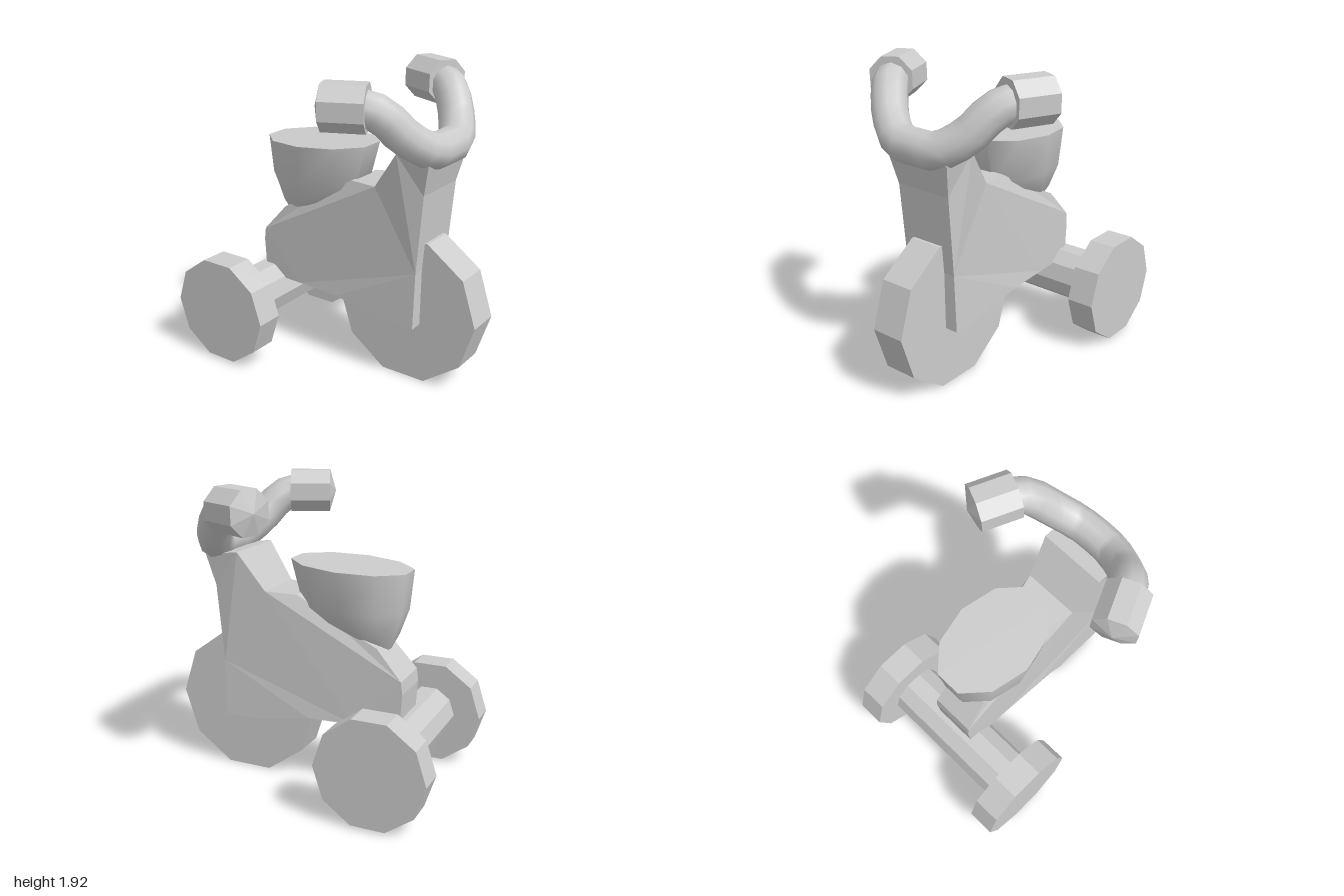
import * as THREE from 'three';
import { toCreasedNormals } from 'three/addons/utils/BufferGeometryUtils.js';

const smooth = new THREE.MeshStandardMaterial({ color: 0xcccccc });
const faceted = new THREE.MeshStandardMaterial({ color: 0xcccccc, flatShading: true });

function part(name, geometry, material = faceted) {
  const mesh = new THREE.Mesh(geometry, material);
  mesh.name = name;
  return mesh;
}

// Ten-sided drum lying along x
function drum(name, radius, width, x, y, z) {
  const mesh = part(name, new THREE.CylinderGeometry(radius, radius, width, 10).rotateZ(Math.PI / 2));
  mesh.position.set(x, y, z);
  return mesh;
}

// Frame: side outline as [z, y, half width], wider at the steering head
function frameGeometry() {
  const outline = [
    [0.627, 0.385, 0.195], [0.632, 0.75, 0.185], [0.674, 1.25, 0.19], [0.72, 1.45, 0.225],
    [0.5, 1.48, 0.22], [0.33, 1.24, 0.18], [0.13, 1.23, 0.135], [-0.1, 1.1, 0.13],
    [-0.4, 0.95, 0.13], [-0.565, 0.765, 0.145], [-0.575, 0.685, 0.145], [-0.56, 0.445, 0.145],
    [-0.27, 0.445, 0.16], [0.04, 0.445, 0.18], [0.4, 0.385, 0.19],
  ];
  const shape = new THREE.Shape(outline.map(([z, y]) => new THREE.Vector2(z, y)));
  const geo = new THREE.ExtrudeGeometry(shape, { depth: 1, bevelEnabled: false });
  geo.rotateY(-Math.PI / 2).translate(0.5, 0, 0);
  const pos = geo.attributes.position;
  for (let i = 0; i < pos.count; i++) {
    const near = outline.find(([z, y]) => Math.hypot(z - pos.getZ(i), y - pos.getY(i)) < 0.001);
    pos.setX(i, Math.sign(pos.getX(i)) * near[2]);
  }
  geo.computeVertexNormals();
  return geo;
}

// Seat: oval cup whose rings shrink and drift back towards the bottom
function seatGeometry() {
  // [y, centre z, half length, half width]
  const rings = [
    [1.425, -0.175, 0.395, 0.27], [1.16, -0.2, 0.345, 0.235],
    [1.0, -0.285, 0.2, 0.15], [0.88, -0.36, 0.06, 0.05],
  ];
  const geo = new THREE.CylinderGeometry(1, 1, 1, 10, rings.length - 1).rotateY(Math.PI / 10);
  const pos = geo.attributes.position;
  for (let i = 0; i < pos.count; i++) {
    const row = Math.round((0.5 - pos.getY(i)) * (rings.length - 1));
    const [y, cz, length, width] = rings[row];
    const z = pos.getZ(i);
    pos.setXYZ(i, pos.getX(i) * width, y + (row === 0 ? z * 0.018 : 0), cz + z * length);
  }
  return toCreasedNormals(geo, 0.9);
}

// Grip: faceted cylinder with a shallow point on its outer end
function gripGeometry(length) {
  const profile = [[0, 0], [0.145, 0], [0.145, length], [0, length + 0.04]];
  return new THREE.LatheGeometry(profile.map(([r, y]) => new THREE.Vector2(r, y)), 8);
}

export function createModel() {
  const model = new THREE.Group();
  model.name = 'tricycle';
  const trike = new THREE.Group();
  trike.name = 'turnedTricycle';
  trike.rotation.y = 0.186;
  model.add(trike);

  // Wheels and rear axle
  trike.add(drum('frontWheel', 0.487, 0.219, 0.045, 0.463, 0.516));
  trike.add(drum('rearAxle', 0.178, 1.0, 0.024, 0.35, -0.545));
  for (const side of [-1, 1]) {
    trike.add(drum(side > 0 ? 'leftRearWheel' : 'rightRearWheel', 0.35, 0.178, 0.024 + side * 0.54, 0.35, -0.545));
  }

  // Frame and seat
  const frame = part('frame', frameGeometry());
  frame.position.x = 0.045;
  const seat = part('seat', seatGeometry(), smooth);
  seat.position.x = 0.033;
  trike.add(frame, seat);

  // Handlebar, mirrored about its middle
  const handlebar = new THREE.Group();
  handlebar.name = 'handlebar';
  handlebar.position.x = 0.036;
  const half = [[0.14, 1.515, 0.69], [0.29, 1.61, 0.61], [0.38, 1.73, 0.525], [0.445, 1.785, 0.44], [0.5, 1.785, 0.32]];
  const path = [
    ...half.map(([x, y, z]) => new THREE.Vector3(-x, y, z)).reverse(),
    new THREE.Vector3(0, 1.51, 0.7),
    ...half.map(([x, y, z]) => new THREE.Vector3(x, y, z)),
  ];
  const bar = new THREE.TubeGeometry(new THREE.CatmullRomCurve3(path), 16, 0.11, 10);
  handlebar.add(part('bar', bar, smooth));

  const up = new THREE.Vector3(0, 1, 0);
  for (const side of [-1, 1]) {
    const start = new THREE.Vector3(side * 0.436, 1.785, 0.455);
    const reach = new THREE.Vector3(side * 0.54, 1.785, 0.22).sub(start);
    const grip = part(side > 0 ? 'leftGrip' : 'rightGrip', gripGeometry(reach.length()));
    grip.position.copy(start);
    grip.quaternion.setFromUnitVectors(up, reach.normalize());
    handlebar.add(grip);
  }
  trike.add(handlebar);
  return model;
}
